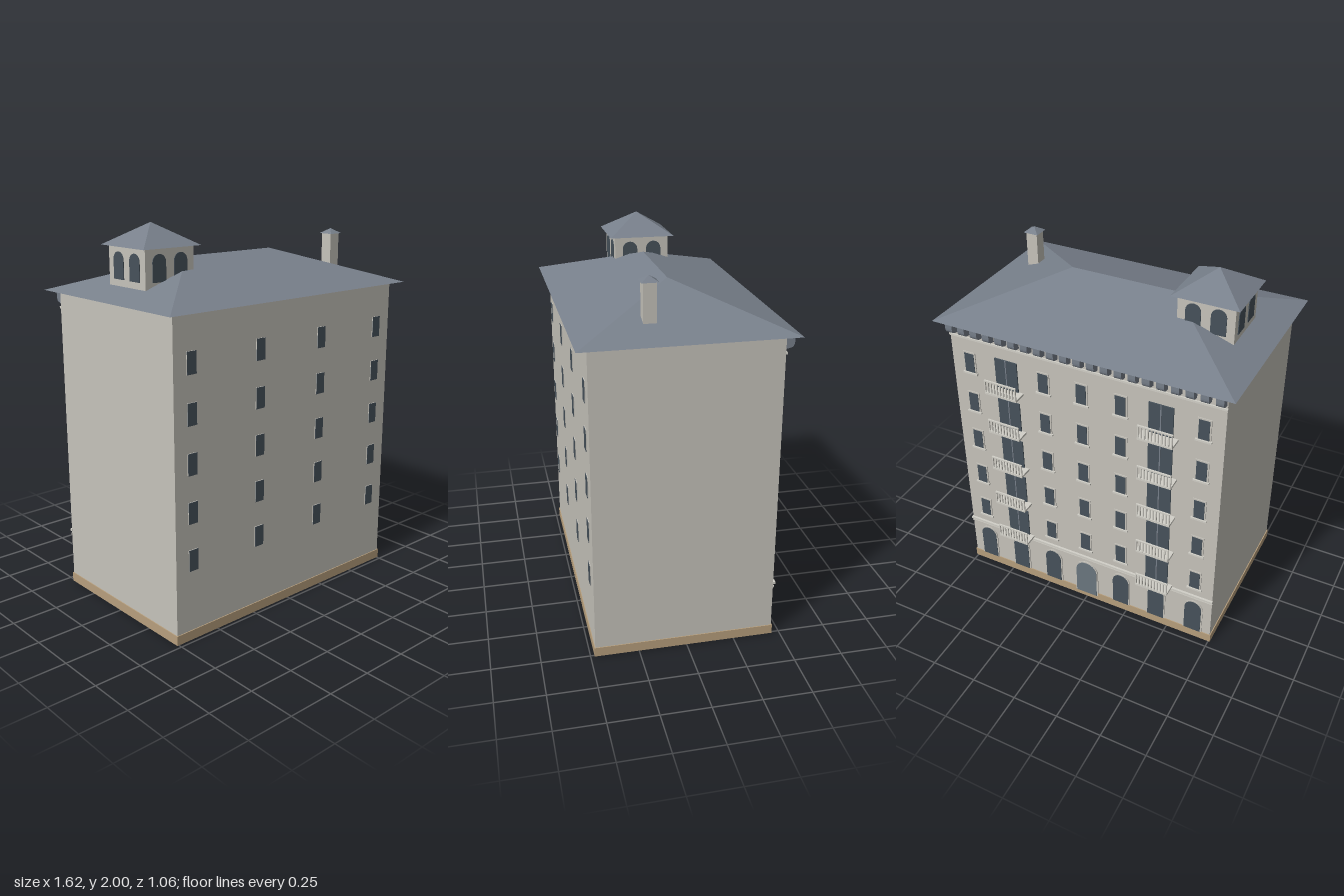
import * as THREE from 'three';

const mat = (name, color, side = THREE.FrontSide) => {
  const m = new THREE.MeshStandardMaterial({ color, side });
  m.name = name;
  return m;
};

export function createModel() {
  const wall = mat('wall plaster', 0xc6c3bb);
  const trim = mat('pale trim', 0xd2d0c8);
  const stone = mat('tan plinth', 0xb79f7d);
  const slate = mat('slate roof', 0x78808b);
  const glass = mat('dark glass', 0x47525b);
  const doorMat = mat('entrance door', 0x6a767f);

  const building = new THREE.Group();
  building.name = 'apartmentBuilding';

  const add = (parent, name, geo, material, x = 0, y = 0, z = 0) => {
    const m = new THREE.Mesh(geo, material);
    m.name = name;
    m.position.set(x, y, z);
    parent.add(m);
    return m;
  };
  const group = (parent, name, x = 0, y = 0, z = 0, ry = 0) => {
    const g = new THREE.Group();
    g.name = name;
    g.position.set(x, y, z);
    g.rotation.y = ry;
    parent.add(g);
    return g;
  };
  // box given by its lower and upper limits
  const box = (parent, name, material, x0, x1, y0, y1, z0, z1) =>
    add(parent, name, new THREE.BoxGeometry(x1 - x0, y1 - y0, z1 - z0), material,
      (x0 + x1) / 2, (y0 + y1) / 2, (z0 + z1) / 2);

  // hip roof with a closed underside; ridge = half length of the ridge
  const hipRoof = (w, d, h, ridge) => {
    const a = [-w, 0, d], b = [w, 0, d], c = [w, 0, -d], e = [-w, 0, -d];
    const l = [-ridge, h, 0], r = [ridge, h, 0];
    const tris = [a, b, r, b, c, r, c, e, l, e, a, l, a, e, c, a, c, b];
    if (ridge > 0) tris.push(a, r, l, c, l, r);
    else tris.push();
    const g = new THREE.BufferGeometry();
    g.setAttribute('position', new THREE.Float32BufferAttribute(tris.flat(), 3));
    g.computeVertexNormals();
    return g;
  };

  // round-headed plate standing on y = 0
  const archPlate = (w, h, depth) => {
    const r = w / 2;
    const s = new THREE.Shape();
    s.moveTo(-r, 0);
    s.lineTo(r, 0);
    s.lineTo(r, h - r);
    s.absarc(0, h - r, r, 0, Math.PI, false);
    s.lineTo(-r, 0);
    return new THREE.ExtrudeGeometry(s, { depth, bevelEnabled: false, curveSegments: 10 });
  };

  // main block
  box(building, 'plinth', stone, -0.76, 0.76, 0, 0.05, -0.46, 0.48);
  box(building, 'walls', wall, -0.755, 0.755, 0.05, 1.64, -0.455, 0.475);
  add(building, 'mainRoof', hipRoof(0.81, 0.525, 0.18, 0.29), slate, 0, 1.64, 0.005);

  const floors = [0.425, 0.67, 0.915, 1.16, 1.405];

  // front windows
  const front = group(building, 'frontWindows', 0, 0, 0.475);
  for (const y of floors) {
    for (const x of [-0.65, -0.215, 0.215, 0.65]) {
      box(front, 'windowSurround', wall, x - 0.028, x + 0.028, y - 0.055, y + 0.055, -0.002, 0.004);
      box(front, 'windowPane', glass, x - 0.028, x + 0.028, y - 0.055, y + 0.055, 0.004, 0.006);
    }
  }

  // back facade, local z points outward
  const back = group(building, 'backFacade', 0, 0, -0.455, Math.PI);
  for (const y of floors) {
    for (const x of [-0.65, -0.215, 0, 0.215, 0.65]) {
      box(back, 'windowFrame', wall, x - 0.036, x + 0.036, y - 0.06, y + 0.063, -0.002, 0.005);
      box(back, 'windowPane', glass, x - 0.028, x + 0.028, y - 0.055, y + 0.055, 0.005, 0.007);
      box(back, 'windowSill', trim, x - 0.042, x + 0.042, y - 0.068, y - 0.058, -0.002, 0.012);
    }
    // balconies with double doors
    for (const x of [-0.43, 0.43]) {
      const b = group(back, 'balcony', x, y - 0.113, 0);
      box(b, 'balconyDoor', glass, -0.065, 0.065, 0.008, 0.185, -0.002, 0.006);
      box(b, 'doorMullion', slate, -0.003, 0.003, 0.008, 0.185, 0.006, 0.009);
      box(b, 'balconySlab', trim, -0.0925, 0.0925, 0, 0.012, 0, 0.075);
      box(b, 'handrail', trim, -0.0925, 0.0925, 0.076, 0.084, 0.066, 0.075);
      for (let i = 0; i <= 10; i++) {
        const bx = -0.089 + i * 0.0178;
        box(b, 'baluster', trim, bx - 0.003, bx + 0.003, 0.012, 0.077, 0.067, 0.074);
      }
    }
  }

  // ground floor arches and entrance
  for (const x of [-0.65, -0.43, -0.215, 0.215, 0.43, 0.65]) {
    add(back, 'archSurround', archPlate(0.112, 0.217, 0.005), wall, x, 0.05, 0);
    add(back, 'archWindow', archPlate(0.096, 0.209, 0.007), glass, x, 0.05, 0);
  }
  add(back, 'entranceSurround', archPlate(0.142, 0.237, 0.006), wall, 0, 0.03, 0);
  add(back, 'entranceDoor', archPlate(0.126, 0.229, 0.009), doorMat, 0, 0.03, 0);

  // string courses
  box(back, 'lowerStringCourse', trim, -0.758, 0.758, 0.3, 0.312, -0.003, 0.012);
  box(back, 'lowerStringCourse', wall, -0.757, 0.757, 0.28, 0.288, -0.002, 0.006);
  box(back, 'upperStringCourse', trim, -0.757, 0.757, 1.545, 1.556, -0.002, 0.008);

  // brackets under the eave
  const profile = new THREE.Shape();
  profile.moveTo(0, 0);
  profile.lineTo(0.022, 0.004);
  profile.quadraticCurveTo(0.043, 0.008, 0.043, 0.035);
  profile.lineTo(0.043, 0.07);
  profile.lineTo(0, 0.07);
  const bracketGeo = new THREE.ExtrudeGeometry(profile, { depth: 0.04, bevelEnabled: false, curveSegments: 5 });
  bracketGeo.rotateY(-Math.PI / 2).translate(0.02, 0, 0);
  for (let i = 0; i < 21; i++) {
    add(back, 'eaveBracket', bracketGeo, slate, -0.73 + i * 0.073, 1.57, 0);
  }

  // lookout tower with two arched windows per side
  const tower = group(building, 'lookoutTower', -0.507, 0, 0);
  box(tower, 'towerWalls', wall, -0.147, 0.147, 1.65, 1.89, -0.147, 0.147);
  add(tower, 'towerRoof', hipRoof(0.175, 0.175, 0.11, 0), slate, 0, 1.89, 0);
  for (let k = 0; k < 4; k++) {
    const side = group(tower, 'towerSide', 0, 0, 0, k * Math.PI / 2);
    for (const x of [-0.065, 0.065]) {
      add(side, 'towerArch', archPlate(0.08, 0.135, 0.005), glass, x, 1.728, 0.146);
    }
  }

  // chimney
  const chimney = group(building, 'chimney', 0.608, 0, 0.164);
  box(chimney, 'chimneyStack', wall, -0.032, 0.032, 1.65, 1.89, -0.032, 0.032);
  add(chimney, 'chimneyCap', hipRoof(0.042, 0.042, 0.027, 0), slate, 0, 1.89, 0);

  return building;
}
